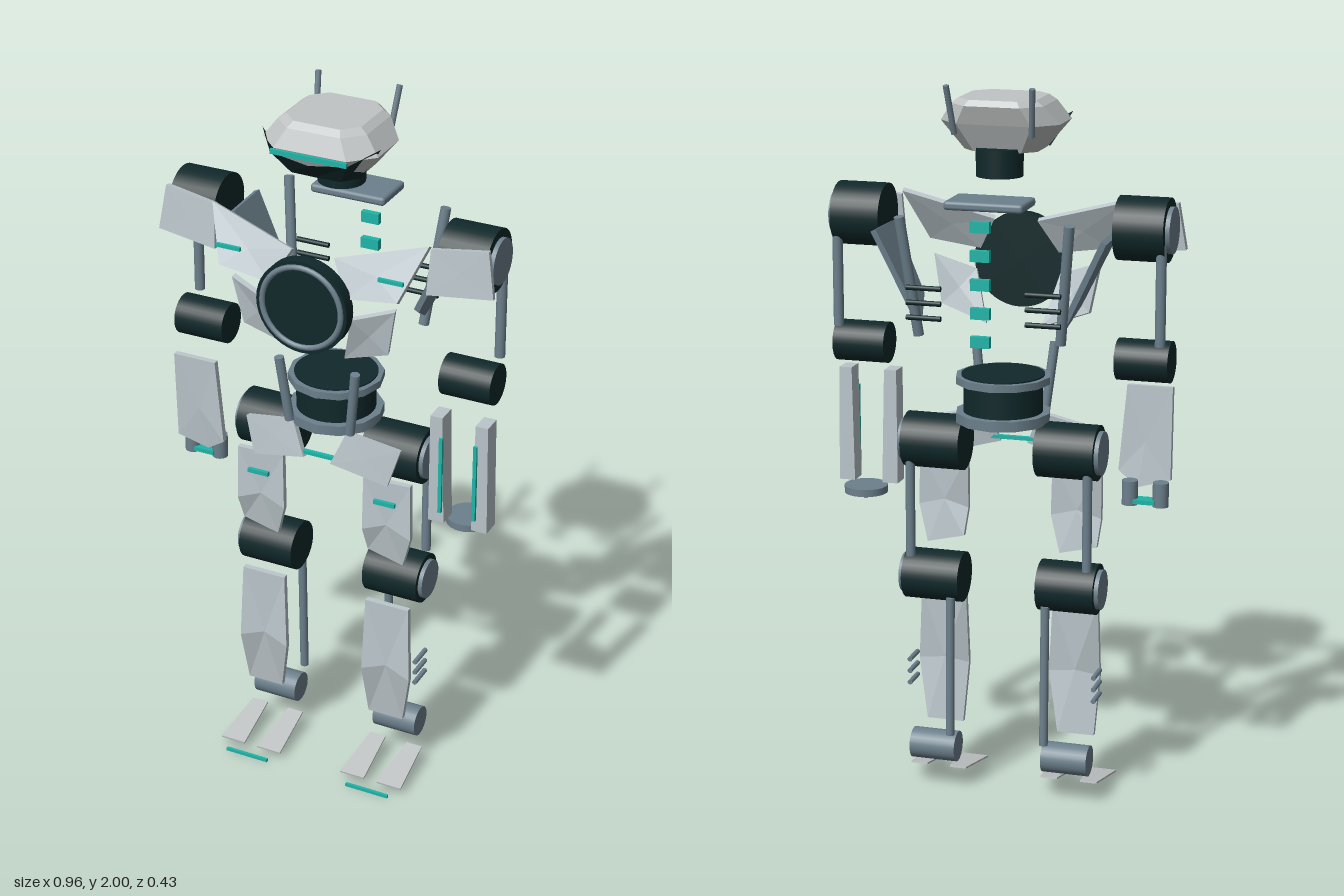
import * as THREE from 'three';
import { RoundedBoxGeometry } from 'three/addons/geometries/RoundedBoxGeometry.js';

const mat = (name, color) => {
  const m = new THREE.MeshStandardMaterial({ color });
  m.name = name;
  return m;
};

export function createModel() {
  const root = new THREE.Group();
  root.name = 'robot';
  const armor = mat('pale armor', 0xbac5ca);
  const shell = mat('pale grey shell', 0xc0c4c4);
  const dark = mat('dark joint', 0x10282a);
  const slate = mat('slate metal', 0x6c808c);
  const teal = mat('teal light', 0x1fb5a8);
  const V = (a) => new THREE.Vector3(...a);

  const add = (name, geo, material, pos = [0, 0, 0]) => {
    const mesh = new THREE.Mesh(geo, material);
    mesh.name = name;
    mesh.position.set(...pos);
    root.add(mesh);
    return mesh;
  };
  const box = (name, size, pos, m) => add(name, new THREE.BoxGeometry(...size), m, pos);
  // Round bar between two points
  const rod = (name, a, b, r, m, sides = 20) => {
    const p = V(a), q = V(b), d = q.clone().sub(p);
    const mesh = add(name, new THREE.CylinderGeometry(r, r, d.length(), sides), m);
    mesh.position.copy(p).add(q).multiplyScalar(0.5);
    mesh.quaternion.setFromUnitVectors(new THREE.Vector3(0, 1, 0), d.normalize());
    return mesh;
  };
  const flat = (tris) => {
    const g = new THREE.BufferGeometry().setFromPoints(tris);
    g.computeVertexNormals();
    return g;
  };
  // Armour plate: outline corners, thickened away from the facing direction
  const plate = (name, corners, m, thick = 0.016, facing = [0, 0, 1]) => {
    let p = corners.map(V);
    const normal = new THREE.Vector3();
    p.forEach((a, i) => normal.add(a.clone().cross(p[(i + 1) % p.length])));
    normal.normalize();
    if (normal.dot(V(facing)) < 0) { p.reverse(); normal.negate(); }
    const back = normal.multiplyScalar(-thick);
    const c = p.reduce((s, a) => s.add(a), new THREE.Vector3()).divideScalar(p.length);
    const q = p.map((a) => a.clone().add(back)), d = c.clone().add(back);
    const tris = [];
    p.forEach((a, i) => {
      const j = (i + 1) % p.length;
      tris.push(c, a, p[j], d, q[j], q[i], a, q[i], q[j], a, q[j], p[j]);
    });
    return add(name, flat(tris), m);
  };
  const flip = (s, pts) => pts.map(([x, y, z]) => [s * x, y, z]);

  // Head: stacked chamfered rings [y, half width, back z, front z, chamfer]
  const rings = [[1.82, 0.1, -0.055, 0.11, 0.035], [1.895, 0.162, -0.09, 0.152, 0.06],
    [1.945, 0.125, -0.108, 0.13, 0.05], [1.96, 0.105, -0.095, 0.112, 0.04]].map(([y, w, b, f, c]) =>
    [[w, f - c], [w, b + c], [w - c, b], [c - w, b], [-w, b + c], [-w, f - c], [c - w, f], [w - c, f]]
      .map(([x, z]) => new THREE.Vector3(x, y, z)));
  const headTris = [];
  for (let k = 0; k < 3; k++) {
    for (let i = 0; i < 8; i++) {
      const j = (i + 1) % 8, [a, b] = [rings[k], rings[k + 1]];
      headTris.push(a[i], a[j], b[j], a[i], b[j], b[i]);
    }
  }
  for (let i = 1; i < 7; i++) {
    headTris.push(rings[0][0], rings[0][i + 1], rings[0][i], rings[3][0], rings[3][i], rings[3][i + 1]);
  }
  add('headShell', flat(headTris), shell);
  // Dark face mask under the visor
  const upper = [[-0.167, 1.915, 0.085], [-0.108, 1.885, 0.158], [0, 1.868, 0.16], [0.108, 1.885, 0.158], [0.167, 1.915, 0.085]].map(V);
  const lower = [[-0.108, 1.822, 0.075], [-0.07, 1.82, 0.116], [0, 1.82, 0.118], [0.07, 1.82, 0.116], [0.108, 1.822, 0.075]].map(V);
  const maskTris = [];
  for (let i = 0; i < 4; i++) {
    maskTris.push(lower[i], lower[i + 1], upper[i + 1], lower[i], upper[i + 1], upper[i]);
  }
  const maskMat = mat('dark mask', 0x10282a);
  maskMat.side = THREE.DoubleSide;
  add('faceMask', flat(maskTris), maskMat);
  box('visorLight', [0.215, 0.013, 0.009], [0, 1.888, 0.158], teal);
  rod('neck', [0, 1.755, -0.032], [0, 1.83, -0.032], 0.063, dark, 28);
  add('collarPlate', new RoundedBoxGeometry(0.215, 0.024, 0.13, 2, 0.009), slate, [0, 1.697, -0.125]);

  // Chest reactor
  rod('reactorHousing', [0, 1.49, 0.165], [0, 1.49, 0.203], 0.13, dark, 40);
  add('reactorRing', new THREE.TorusGeometry(0.113, 0.008, 8, 40), slate, [0, 1.49, 0.203]);

  // Waist drum with two rims
  rod('waistDrum', [0, 1.1, 0], [0, 1.213, 0], 0.108, dark, 32);
  rod('waistTopRim', [0, 1.19, 0], [0, 1.21, 0], 0.13, slate, 12);
  rod('waistTopCover', [0, 1.205, 0], [0, 1.214, 0], 0.113, dark, 32);
  rod('waistBottomRim', [0, 1.082, 0], [0, 1.11, 0], 0.13, slate, 12);
  box('pelvisLight', [0.145, 0.01, 0.012], [0, 1.005, 0.105], teal);

  // Spine lights
  for (let i = 0; i < 5; i++) box('spineLight', [0.052, 0.03, 0.017], [0, 1.65 - i * 0.076, -0.208], teal);

  for (const s of [-1, 1]) {
    const bar = (name, a, b, r, m, n) => rod(name, ...flip(s, [a, b]), r, m, n);
    const panel = (name, pts, m, t, f) => plate(name, flip(s, pts), m, t, f);
    // Joint drum along x, with an optional outer cap
    const joint = (name, x0, x1, y, z, r, cap) => {
      bar(name, [x0, y, z], [x1, y, z], r, dark, 32);
      if (cap) bar(name + 'Cap', [x1 - 0.01, y, z], [x1 + 0.012, y, z], cap, slate, 32);
    };
    bar('antenna', [0.105, 1.87, -0.095], [0.116, 2, -0.13], 0.008, slate, 10);

    // Torso armour
    panel('chestPlate', [[0.31, 1.685, 0.1], [0.06, 1.615, 0.135], [0.11, 1.525, 0.172], [0.255, 1.545, 0.172]], armor);
    box('chestLight', [0.07, 0.01, 0.009], [s * 0.232, 1.595, 0.16], teal);
    panel('ribPlate', [[0.235, 1.5, 0.14], [0.12, 1.46, 0.16], [0.08, 1.32, 0.115], [0.21, 1.365, 0.125]], armor);
    panel('sideFin', [[0.315, 1.61, 0], [0.32, 1.61, -0.15], [0.2, 1.36, -0.13], [0.225, 1.42, -0.03]], slate, 0.016, [s, 0, 0]);
    bar('backStrut', [0.23, 1.66, -0.18], [0.195, 1.335, -0.13], 0.014, slate);
    for (let i = 0; i < 3; i++) {
      const y = 1.475 - i * 0.04;
      bar('backVent', [0.115, y, -0.187], [0.21, y, -0.187], 0.007, dark, 10);
    }

    // Arm
    joint('shoulder', 0.32, 0.455, 1.63, -0.008, 0.085, 0.062);
    panel('shoulderPad', [[0.31, 1.672, 0.09], [0.462, 1.69, 0.075], [0.482, 1.565, 0.085], [0.305, 1.55, 0.105]], armor);
    bar('upperArmRod', [0.445, 1.33, -0.06], [0.445, 1.6, -0.06], 0.014, slate);
    joint('elbow', 0.32, 0.465, 1.277, -0.005, 0.056);

    // Hip and pelvis
    bar('waistPiston', [0.112, 1.28, 0.115], [0.09, 1.09, 0.1], 0.013, slate);
    joint('hip', 0.105, 0.27, 1.012, -0.005, 0.076, 0.06);
    panel('pelvisPlate', [[0.08, 1.09, 0.1], [0.23, 1.06, 0.085], [0.2, 0.955, 0.1], [0.04, 0.995, 0.12]], armor);

    // Leg: both legs carry the same plate outline, shifted sideways
    const leg = s * 0.19;
    const at = (pts) => pts.map(([x, y, z]) => [x + leg, y, z]);
    plate('thighPlate', at([[-0.068, 0.955, 0.085], [0.07, 0.96, 0.085], [0.077, 0.8, 0.095],
      [0.045, 0.7, 0.07], [-0.06, 0.725, 0.07], [-0.066, 0.8, 0.095]]), armor);
    box('thighLight', [0.062, 0.012, 0.01], [leg, 0.897, 0.095], teal);
    bar('thighRod', [0.25, 0.69, -0.05], [0.25, 0.97, -0.05], 0.013, slate);
    joint('knee', 0.11, 0.272, 0.627, -0.005, 0.07, 0.055);
    plate('shinPlate', at([[-0.064, 0.56, 0.075], [0.065, 0.56, 0.075], [0.08, 0.345, 0.095],
      [0.045, 0.18, 0.057], [-0.06, 0.18, 0.057], [-0.066, 0.345, 0.095]]), armor);
    bar('shinRod', [0.135, 0.18, -0.065], [0.135, 0.58, -0.055], 0.012, slate);
    for (let i = 0; i < 3; i++) {
      const y = 0.375 - i * 0.034;
      bar('calfRib', [0.265, y, -0.025], [0.265, y, 0.045], 0.007, slate, 10);
    }
    bar('ankle', [0.125, 0.13, -0.022], [0.255, 0.13, -0.022], 0.043, slate, 28);

    // Foot: two sloping toe plates and a light
    for (const dx of [-0.057, 0.057]) {
      plate('toePlate', at([[dx - 0.037, 0.03, 0.17], [dx + 0.037, 0.03, 0.17],
        [dx + 0.024, 0.06, 0], [dx - 0.024, 0.06, 0]]), shell, 0.005, [0, 1, 0]);
    }
    box('toeLight', [0.13, 0.009, 0.008], [leg, 0.0085, 0.192], teal);
  }

  // Right forearm with a two-finger hand
  plate('forearmPlate', [[-0.455, 1.19, 0.075], [-0.33, 1.19, 0.075], [-0.308, 0.95, 0.075],
    [-0.365, 0.91, 0.06], [-0.455, 0.935, 0.065]], armor);
  for (const x of [-0.435, -0.35]) rod('finger', [x, 0.87, 0.02], [x, 0.937, 0.02], 0.022, slate, 16);
  box('palmLight', [0.06, 0.012, 0.04], [-0.392, 0.882, 0.02], teal);

  // Left forearm: twin prongs over an emitter disc
  for (const s of [-1, 1]) {
    const x = (d) => 0.395 + s * d;
    plate('forearmProng', [[x(0.082), 1.19, 0.08], [x(0.047), 1.19, 0.08], [x(0.04), 0.87, 0.075], [x(0.085), 0.87, 0.075]], armor, 0.055);
    box('prongLight', [0.01, 0.225, 0.009], [x(0.049), 1.018, 0.081], teal);
  }
  rod('emitterDisc', [0.395, 0.848, 0], [0.395, 0.868, 0], 0.06, slate, 28);
  rod('emitterCore', [0.395, 0.841, 0], [0.395, 0.849, 0], 0.038, dark, 24);
  rod('emitterLight', [0.395, 0.837, 0], [0.395, 0.842, 0], 0.02, teal, 20);
  return root;
}
